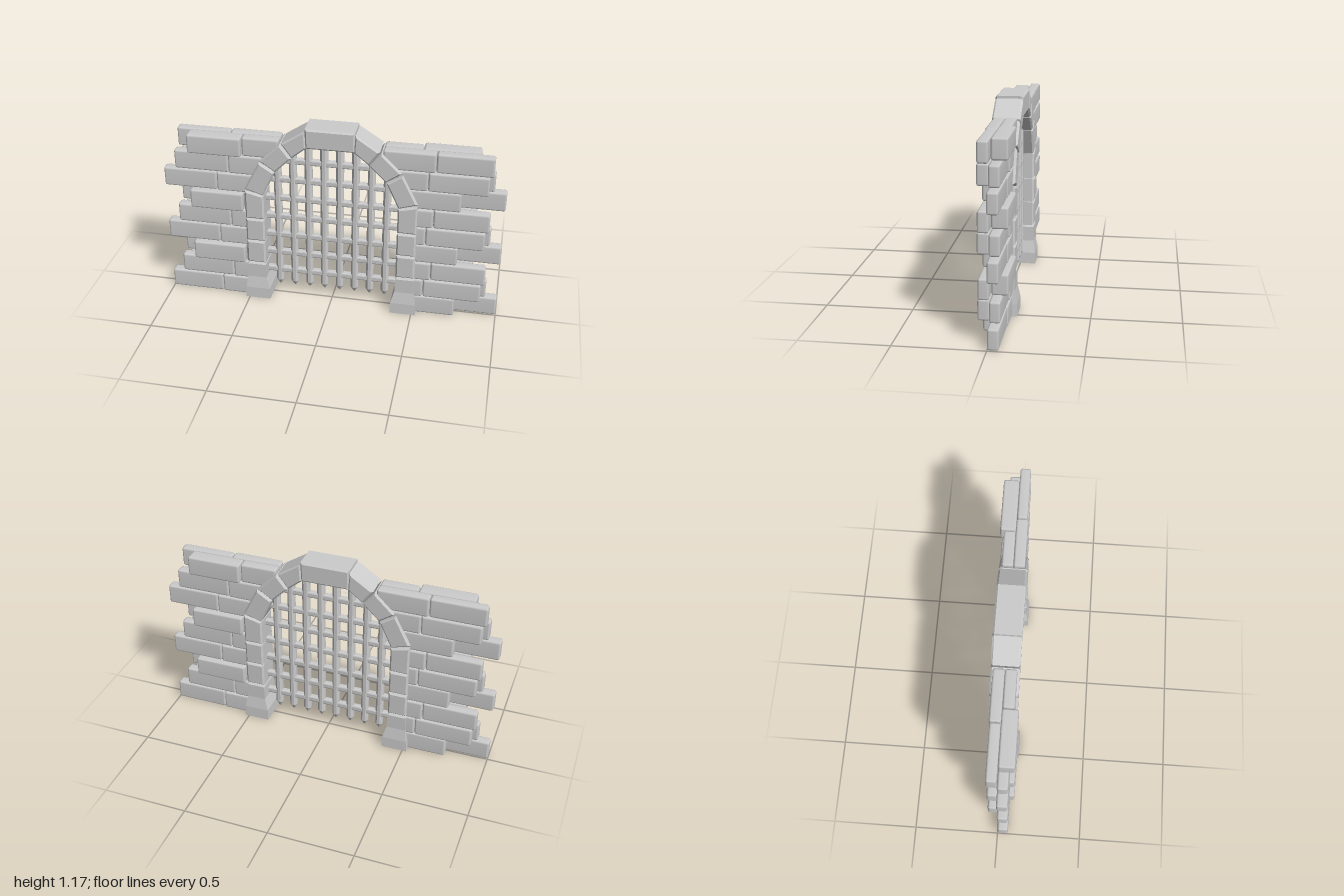
import * as THREE from 'three';
import { RoundedBoxGeometry } from 'three/addons/geometries/RoundedBoxGeometry.js';
import { mergeVertices } from 'three/addons/utils/BufferGeometryUtils.js';

const stone = new THREE.MeshStandardMaterial({ color: 0xcccccc });
const flat = new THREE.MeshStandardMaterial({ color: 0xcccccc, flatShading: true });

function add(parent, name, geometry, material = flat) {
  const mesh = new THREE.Mesh(geometry, material);
  mesh.name = name;
  parent.add(mesh);
  return mesh;
}

// Softly shaded brick: a chamfered box with shared normals
function brick(parent, x0, x1, y, h, depth) {
  const box = new RoundedBoxGeometry(x1 - x0, h, depth, 1, 0.012);
  box.deleteAttribute('normal');
  box.deleteAttribute('uv');
  const g = mergeVertices(box, 1e-4);
  g.computeVertexNormals();
  add(parent, 'brick', g, stone).position.set((x0 + x1) / 2, y, depth / 2);
}

// One face of the wall; the other is the same turned half round
function wallLayer() {
  const layer = new THREE.Group();
  const pitch = 0.1195;
  // bricks per course, outer to inner: [outer x, joint x, outer depth]
  const left = [[1, 0.68, 0.062], [0.93, 0.605, 0.06], [0.84, 0.52, 0.09]];
  const right = [[0.75, null, 0.06], [0.9, 0.56, 0.065], [0.92, 0.6, 0.06]];
  for (let row = 0; row < 9; row++) {
    const inner = row < 6 ? 0.45 : [0.44, 0.38, 0.3][row - 6];
    const y = (row + 0.5) * pitch;
    for (const [side, courses] of [[-1, left], [1, right]]) {
      const [outer, joint, depth] = courses[row % 3];
      const place = (a, b, d) =>
        brick(layer, Math.min(side * a, side * b), Math.max(side * a, side * b), y, pitch - 0.002, d);
      place(outer, joint ?? inner, depth);
      if (joint) place(joint - 0.003, inner, 0.066);
    }
  }
  return layer;
}

// Bevelled arch block from its four front corners
function archBlock(parent, name, corners, depth = 0.16) {
  const b = 0.01;
  const shape = new THREE.Shape(corners.map(([x, y]) => new THREE.Vector2(x, y)));
  const g = new THREE.ExtrudeGeometry(shape, {
    depth: depth - 2 * b, bevelEnabled: true, bevelSegments: 1,
    bevelSize: b, bevelThickness: b, bevelOffset: -b,
  });
  g.translate(0, 0, -depth / 2 + b);
  add(parent, name, g);
}

// Pillar foot that flares towards the ground
function pillarFoot(parent, side) {
  // rings: [y, inner x, outer x, half depth]
  const rings = [
    [0, 0.37, 0.525, 0.095], [0.07, 0.372, 0.52, 0.093], [0.145, 0.394, 0.508, 0.08],
    [0.235, 0.396, 0.505, 0.08], [0.246, 0.405, 0.496, 0.07],
  ];
  const g = new THREE.BoxGeometry(1, 1, 1, 1, rings.length - 1, 1);
  const p = g.attributes.position;
  for (let i = 0; i < p.count; i++) {
    const [y, a, b, d] = rings[Math.round((p.getY(i) + 0.5) * (rings.length - 1))];
    const outward = p.getX(i) * side > 0;
    p.setXYZ(i, side * (outward ? b : a), y, Math.sign(p.getZ(i)) * d);
  }
  g.computeVertexNormals();
  add(parent, 'pillarFoot', g);
}

function archway() {
  const arch = new THREE.Group();
  arch.name = 'archway';
  const rightBlocks = [
    [[0.395, 0.248], [0.508, 0.248], [0.508, 0.398], [0.395, 0.398]],
    [[0.395, 0.402], [0.508, 0.402], [0.508, 0.55], [0.395, 0.55]],
    [[0.395, 0.554], [0.508, 0.554], [0.508, 0.738], [0.395, 0.712]],
    [[0.398, 0.714], [0.508, 0.75], [0.417, 0.932], [0.325, 0.872]],
    [[0.322, 0.876], [0.412, 0.94], [0.292, 1.058], [0.225, 0.972]],
    [[0.222, 0.976], [0.284, 1.062], [0.146, 1.152], [0.136, 1.045]],
  ];
  for (const side of [1, -1]) {
    pillarFoot(arch, side);
    rightBlocks.forEach((corners, i) => archBlock(arch, i < 3 ? 'pillarBlock' : 'archBlock',
      corners.map(([x, y]) => [side * x, y])));
  }
  archBlock(arch, 'keystone', [[-0.142, 1.045], [0.142, 1.045], [0.144, 1.166], [-0.144, 1.166]]);
  return arch;
}

function portcullis() {
  const gate = new THREE.Group();
  gate.name = 'portcullis';
  // Pointed upright bars, following the arch at the top
  const tops = [1.09, 1.08, 1.01, 0.9];
  for (const side of [1, -1]) {
    tops.forEach((top, i) => {
      const profile = [[0, 0.065], [0.006, 0.068], [0.024, 0.1], [0.024, top], [0, top]];
      const g = new THREE.LatheGeometry(profile.map(([x, y]) => new THREE.Vector2(x, y)), 8, Math.PI / 8);
      add(gate, 'uprightBar', g).position.x = side * (0.0463 + i * 0.0925);
    });
  }
  // Cross bars
  for (let i = 0; i < 7; i++) {
    const half = i < 5 ? 0.42 : [0.39, 0.31][i - 5];
    add(gate, 'crossBar', new RoundedBoxGeometry(2 * half, 0.036, 0.036, 1, 0.008))
      .position.y = 0.175 + i * 0.125;
  }
  return gate;
}

export function createModel() {
  const model = new THREE.Group();
  model.name = 'castleGate';
  const front = wallLayer();
  front.name = 'frontWall';
  const back = wallLayer();
  back.name = 'backWall';
  back.rotation.y = Math.PI;
  model.add(front, back, archway(), portcullis());
  return model;
}
